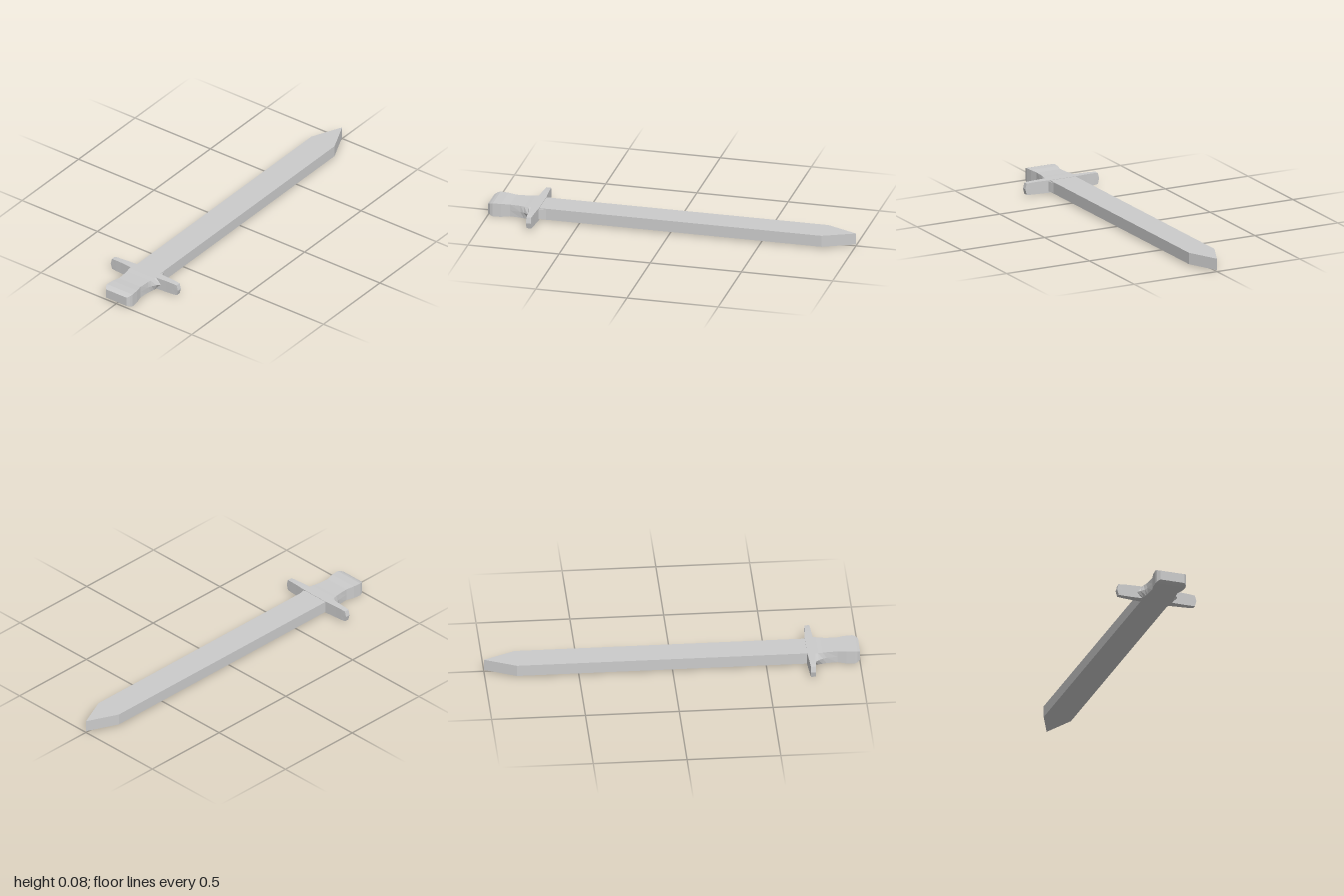
import * as THREE from 'three';

const material = new THREE.MeshStandardMaterial({ color: 0xcccccc, flatShading: true });

// Six-sided sections joined along z.
// Each section: [z, edge half-width, middle half-width, bottom, top, z shift of the middle ridge]
function loft(sections) {
  const positions = [], index = [];
  sections.forEach(([z, e, w, y0, y1, dz = 0]) => {
    const m = (y0 + y1) / 2;
    positions.push(w, m, z + dz, e, y1, z, -e, y1, z, -w, m, z + dz, -e, y0, z, e, y0, z);
  });
  for (let s = 0; s < sections.length - 1; s++) {
    for (let i = 0; i < 6; i++) {
      const a = s * 6 + i, b = s * 6 + (i + 1) % 6;
      index.push(a, b, b + 6, a, b + 6, a + 6);
    }
  }
  const end = (sections.length - 1) * 6;
  for (let i = 1; i < 5; i++) {
    index.push(0, i + 1, i, end, end + i, end + i + 1);
  }
  const geometry = new THREE.BufferGeometry();
  geometry.setAttribute('position', new THREE.Float32BufferAttribute(positions, 3));
  geometry.setIndex(index);
  const flat = geometry.toNonIndexed();
  flat.computeVertexNormals();
  return flat;
}

// Flat plate cut from an [x, z] outline
function plate(outline, y0, y1) {
  const shape = new THREE.Shape(outline.map(([x, z]) => new THREE.Vector2(x, -z)));
  const geometry = new THREE.ExtrudeGeometry(shape, { depth: y1 - y0, bevelEnabled: false });
  return geometry.rotateX(-Math.PI / 2).translate(0, y0, 0);
}

export function createModel() {
  const group = new THREE.Group();
  const add = (name, geometry) => {
    const mesh = new THREE.Mesh(geometry, material);
    mesh.name = name;
    group.add(mesh);
    return mesh;
  };

  // Straight blade with a pointed tip
  add('blade', plate([[0.077, 0.73], [0.077, -0.83], [0, -1], [-0.077, -0.83], [-0.077, 0.73]], 0.008, 0.071));

  // Grip flaring into the guard and swelling into the pommel
  add('grip', loft([
    [0.72, 0.079, 0.085, 0.004, 0.073],
    [0.757, 0.085, 0.115, 0.003, 0.073],
    [0.775, 0.083, 0.099, 0.003, 0.073],
    [0.80, 0.078, 0.084, 0.004, 0.072],
    [0.82, 0.075, 0.077, 0.005, 0.072],
    [0.88, 0.071, 0.071, 0.005, 0.072],
    [0.925, 0.081, 0.081, 0.001, 0.075],
    [0.97, 0.085, 0.085, 0, 0.075],
    [0.985, 0.081, 0.081, 0.005, 0.071],
    [1.0, 0.068, 0.068, 0.012, 0.064],
  ]));

  // Crossguard, thinning slightly towards its ridged ends
  const half = [
    [0.08, 0.022, 0.022, 0.004, 0.073],
    [0.15, 0.017, 0.017, 0.005, 0.073],
    [0.19, 0.015, 0.015, 0.006, 0.072],
    [0.215, 0.013, 0.013, 0.008, 0.07, 0.008],
  ];
  const mirrored = half.map(([z, e, w, y0, y1, dz = 0]) => [-z, e, w, y0, y1, -dz]).reverse();
  add('crossguard', loft([...mirrored, ...half]).rotateY(Math.PI / 2)).position.z = 0.739;

  // Small fillet where the guard meets one edge of the blade
  add('guardFillet', plate([[0.07, 0.73], [0.091, 0.73], [0.084, 0.70], [0.078, 0.68], [0.07, 0.68]], 0.012, 0.067));

  return group;
}
